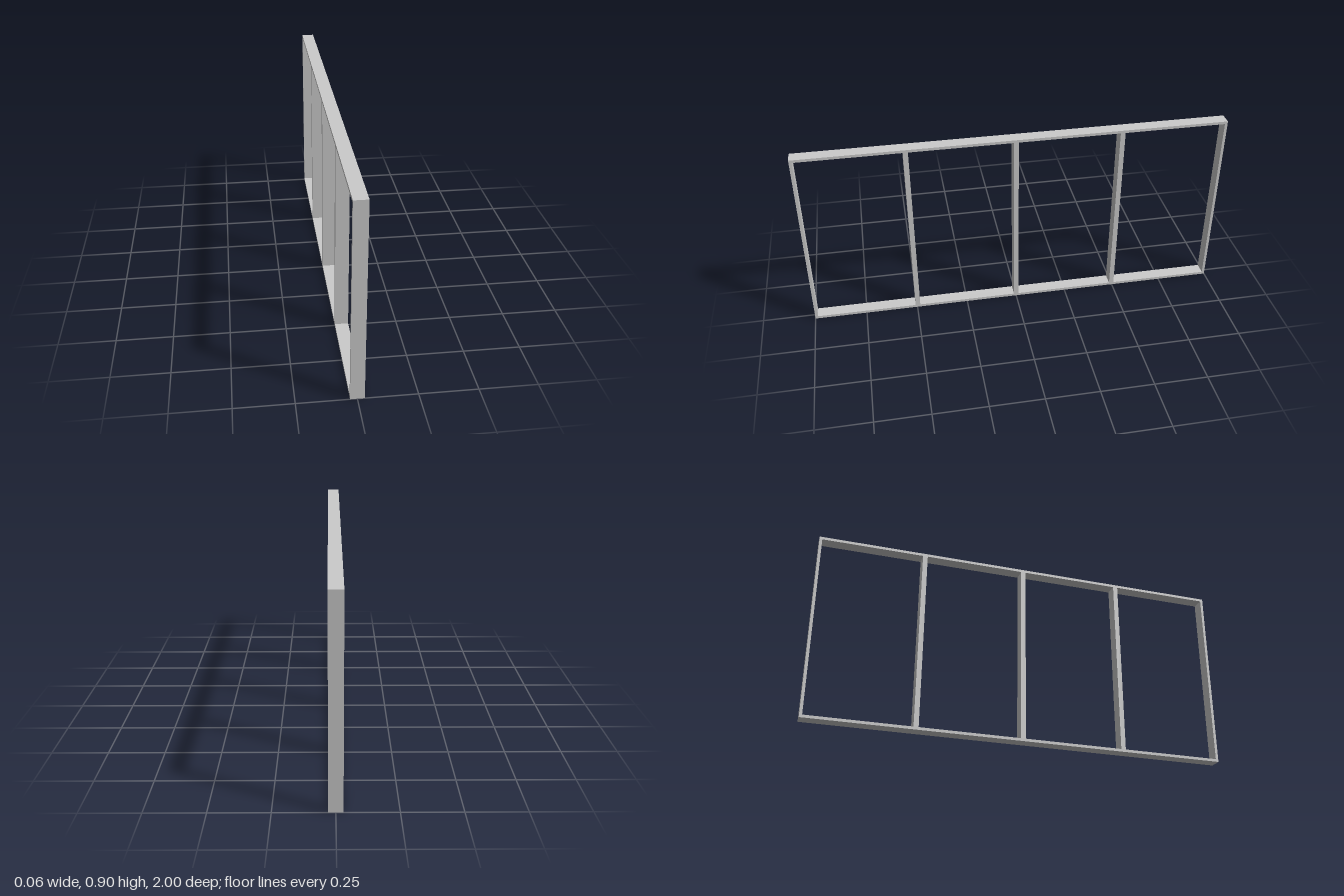
import * as THREE from 'three';

const HEIGHT = 0.9, LENGTH = 2, DEPTH = 0.06;
const EDGE = 0.013;       // thickness of the outer frame
const MULLION = 0.023;    // thickness of the inner uprights
const SPACING = 0.497;    // distance between inner uprights

export function createModel() {
  const model = new THREE.Group();
  model.name = 'windowFrame';
  const material = new THREE.MeshStandardMaterial({ color: 0xcccccc, flatShading: true });

  const bar = (name, height, length, y, z) => {
    const mesh = new THREE.Mesh(new THREE.BoxGeometry(DEPTH, height, length), material);
    mesh.name = name;
    mesh.position.set(0, y, z);
    model.add(mesh);
  };

  // Rails along the bottom and top
  bar('bottomRail', EDGE, LENGTH, EDGE / 2, 0);
  bar('topRail', EDGE, LENGTH, HEIGHT - EDGE / 2, 0);

  // End posts between the rails
  const inner = HEIGHT - 2 * EDGE;
  bar('frontPost', inner, EDGE, HEIGHT / 2, (LENGTH - EDGE) / 2);
  bar('backPost', inner, EDGE, HEIGHT / 2, -(LENGTH - EDGE) / 2);

  // Three inner uprights dividing the frame into four openings
  for (let i = -1; i <= 1; i++) bar(`mullion${i + 2}`, inner, MULLION, HEIGHT / 2, i * SPACING);

  return model;
}
